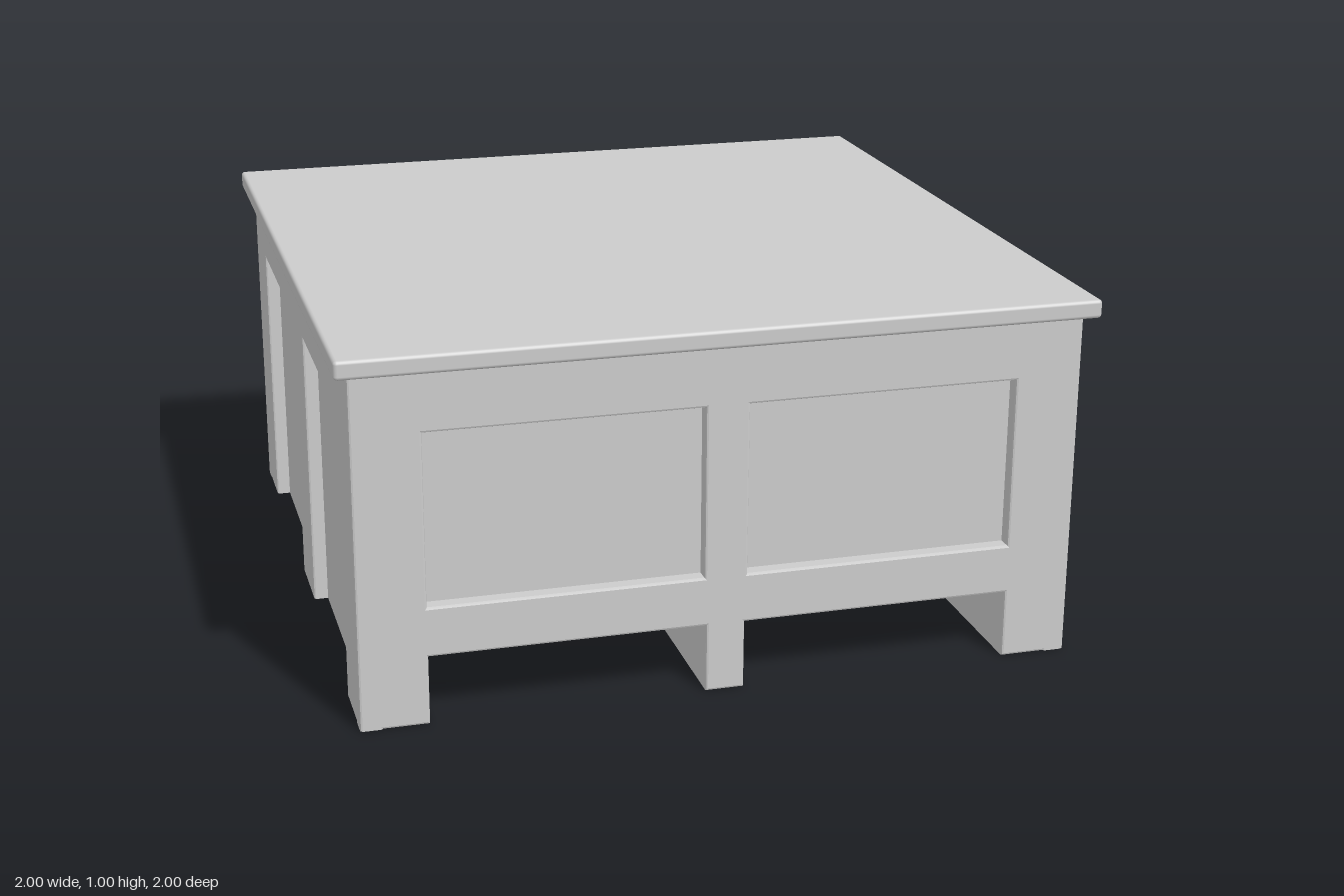
import * as THREE from 'three';
import { RoundedBoxGeometry } from 'three/addons/geometries/RoundedBoxGeometry.js';

const HALF = 0.965;    // half width of the body
const RECESS = 0.04;   // depth of the sunken panels
const TOP = 0.955;     // body top, just inside the lid
const BEVEL = 0.006;

const polygon = (points) => new THREE.Shape(points.map(([x, y]) => new THREE.Vector2(x, y)));

// Outline of the body with two openings below, between three runners
function runnerOutline(half, floorY) {
  const outer = 0.785, inner = 0.052;
  return polygon([
    [-half, 0], [-outer, 0], [-outer, floorY], [-inner, floorY], [-inner, 0],
    [inner, 0], [inner, floorY], [outer, floorY], [outer, 0], [half, 0],
    [half, TOP], [-half, TOP],
  ]);
}

// Bevelled board whose outer face ends at z = HALF
function frameGeometry(shape) {
  const depth = RECESS + 0.02;
  const geometry = new THREE.ExtrudeGeometry(shape, {
    depth: depth - 2 * BEVEL, bevelThickness: BEVEL, bevelSize: BEVEL,
    bevelOffset: -BEVEL, bevelSegments: 2, curveSegments: 4,
  });
  geometry.translate(0, 0, HALF - depth + BEVEL);
  return geometry;
}

export function createModel() {
  const group = new THREE.Group();
  const material = new THREE.MeshStandardMaterial({ color: 0xcccccc });
  const add = (name, geometry, angle = 0) => {
    const mesh = new THREE.Mesh(geometry, material);
    mesh.name = name;
    mesh.rotation.y = angle;
    group.add(mesh);
  };

  // Lid
  const lid = new RoundedBoxGeometry(2, 0.05, 2, 2, 0.01);
  lid.translate(0, 0.975, 0);
  add('lid', lid);

  // Core: sunken panel faces, raised floor and runners
  const coreHalf = HALF - RECESS;
  const core = new THREE.ExtrudeGeometry(runnerOutline(coreHalf, 0.2), {
    depth: 2 * coreHalf, bevelEnabled: false,
  });
  core.translate(0, 0, -coreHalf);
  add('core', core);

  // Front and back frames with two windows each
  const endShape = runnerOutline(HALF, 0.187);
  for (const [x0, x1] of [[-0.785, -0.058], [0.058, 0.785]]) {
    endShape.holes.push(new THREE.Path([
      [x0, 0.322], [x0, 0.788], [x1, 0.788], [x1, 0.322],
    ].map(([x, y]) => new THREE.Vector2(x, y))));
  }
  const endFrame = frameGeometry(endShape);
  add('frontFrame', endFrame);
  add('backFrame', endFrame, Math.PI);

  // Side frames, open at the bottom
  const sideFrame = frameGeometry(polygon([
    [-HALF, 0], [-0.752, 0], [-0.752, 0.785], [-0.107, 0.785], [-0.107, 0],
    [0.107, 0], [0.107, 0.785], [0.752, 0.785], [0.752, 0], [HALF, 0],
    [HALF, TOP], [-HALF, TOP],
  ]));
  add('leftFrame', sideFrame, Math.PI / 2);
  add('rightFrame', sideFrame, -Math.PI / 2);

  return group;
}
